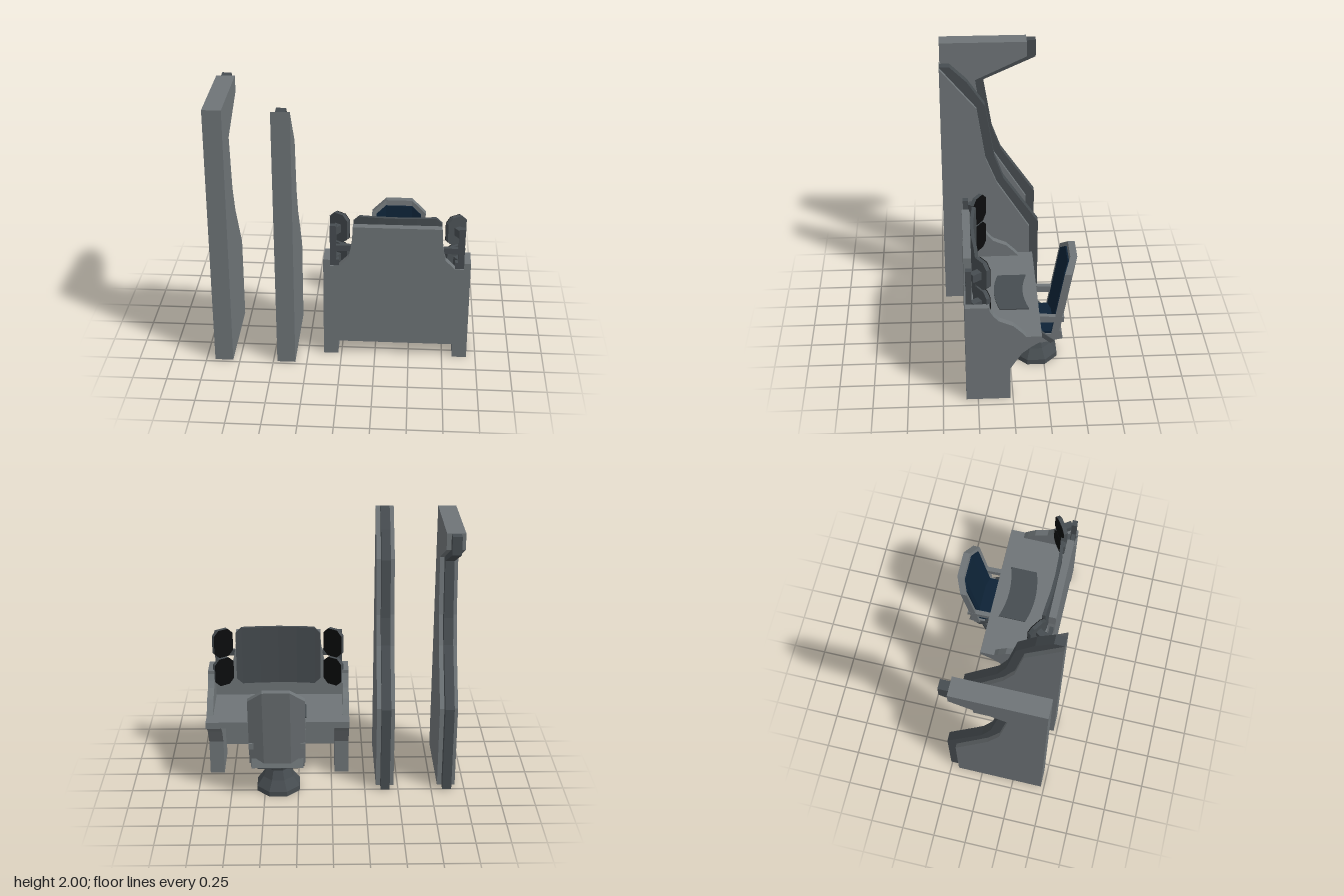
import * as THREE from 'three';
import { mergeGeometries } from 'three/addons/utils/BufferGeometryUtils.js';

const mat = (name, color) => {
  const m = new THREE.MeshStandardMaterial({ color, flatShading: true });
  m.name = name;
  return m;
};

export function createModel() {
  const grey = mat('panel grey', 0x6e7477);
  const dark = mat('dark grey', 0x464c50);
  const navy = mat('navy cushion', 0x0d2236);
  const black = mat('black screen', 0x0b0c0d);
  const model = new THREE.Group();

  const add = (parent, name, geo, material) => {
    const m = new THREE.Mesh(geo, material);
    m.name = name;
    parent.add(m);
    return m;
  };
  const group = (name, x) => {
    const g = new THREE.Group();
    g.name = name;
    g.position.x = x;
    model.add(g);
    return g;
  };
  const outline = pts => new THREE.Shape(pts.map(p => new THREE.Vector2(...p)));
  const extrude = (shape, depth) =>
    new THREE.ExtrudeGeometry(shape, { depth, bevelEnabled: false, curveSegments: 8 });
  // profile of [z, y] points, extruded from x0 to x1
  const extrudeX = (pts, x0, x1) =>
    extrude(outline(pts), x1 - x0).rotateY(-Math.PI / 2).translate(x1, 0, 0);
  const box = (x0, x1, y0, y1, z0, z1) =>
    new THREE.BoxGeometry(x1 - x0, y1 - y0, z1 - z0)
      .translate((x0 + x1) / 2, (y0 + y1) / 2, (z0 + z1) / 2);
  // faceted panel: columns between breaks in x, bent by z = bend(x, y)
  const bentPanel = (breaks, bottom, top, depth, bend) => {
    const cols = breaks.slice(1).map((b, i) => {
      const a = breaks[i];
      return extrude(outline([[a, bottom(a)], [b, bottom(b)], [b, top(b)], [a, top(a)]]), depth);
    });
    const geo = mergeGeometries(cols);
    const p = geo.attributes.position;
    for (let i = 0; i < p.count; i++) p.setZ(i, p.getZ(i) + bend(p.getX(i), p.getY(i)));
    geo.computeVertexNormals();
    return geo;
  };

  // Two tall side panels, each with a narrow trim running along its edge
  const foot = [[0.475, 0], [-0.19, 0], [-0.19, 0.645], [0.06, 1.045], [0.145, 1.26]];
  const trimFoot = [[0.475, 0.002], [-0.26, 0.002], [-0.26, 0.67], [0.01, 1.07], [0.078, 1.26]];
  const canopy = [[0.208, 1.69], [-0.19, 1.88], [-0.19, 2], [0.475, 2]];
  const canopyTrim = [[0.145, 1.68], [-0.26, 1.865], [-0.26, 1.998], [0.474, 1.998]];
  const curve = [[0.208, 1.675], [0.34, 1.835], [0.475, 2]];
  const curveTrim = [[0.145, 1.685], [0.277, 1.88], [0.40, 2], [0.474, 2]];
  [['canopyPanel', -0.868, canopy, canopyTrim], ['curvedPanel', -0.403, curve, curveTrim]]
    .forEach(([name, x, top, trimTop]) => {
      const g = group(name, x);
      add(g, name + 'Body', extrudeX([...foot, ...top], -0.067, 0.067), grey);
      add(g, name + 'Trim', extrudeX([...trimFoot, ...trimTop], -0.034, 0.034), dark);
    });

  // Desk
  const desk = group('desk', 0.4);
  const half = [[0.425, 0.11], [0.425, 0], [0.533, 0], [0.533, 0.8], [0.485, 0.8], [0.485, 0.75],
    [0.42, 0.75], [0.35, 0.82], [0.325, 0.95], [0.32, 1.07]];
  const mirrored = half.map(([x, y]) => [-x, y]).reverse();
  add(desk, 'frontPanel', extrude(outline([...half, ...mirrored]), 0.055).translate(0, 0, 0.28), grey);
  add(desk, 'tableTop', box(-0.533, 0.533, 0.495, 0.545, -0.2, 0.29), grey);
  const leg = [[0.335, 0], [0.02, 0], [0.02, 0.27], [-0.06, 0.40], [-0.13, 0.46], [-0.195, 0.5], [0.335, 0.5]];
  const wing = [[0.335, 0.5], [0.335, 0.8], [0.165, 0.8], [0.165, 0.775], [0.14, 0.73], [0.1, 0.685],
    [0, 0.64], [-0.06, 0.58], [-0.09, 0.545], [-0.09, 0.5]];
  for (const s of [-1, 1]) {
    const side = s < 0 ? 'right' : 'left';
    const spanX = (pts, a, b) => extrudeX(pts, Math.min(s * a, s * b), Math.max(s * a, s * b));
    const spanBox = (a, b, ...r) => box(Math.min(s * a, s * b), Math.max(s * a, s * b), ...r);
    add(desk, side + 'Leg', spanX(leg, 0.425, 0.533), grey);
    add(desk, side + 'Wing', spanX(wing, 0.485, 0.533), grey);

    // Mount with two stacked eight-sided side screens
    add(desk, side + 'MountPost', spanBox(0.44, 0.485, 0.75, 1.07, 0.285, 0.325), dark);
    add(desk, side + 'MountFoot', spanBox(0.42, 0.485, 0.75, 0.8, 0.285, 0.325), dark);
    add(desk, side + 'MountBar', spanBox(0.335, 0.45, 0.87, 0.915, 0.295, 0.325), dark);
    const w = 0.08, h = 0.11, c = 0.04;
    const oct = outline([[w - c, -h], [w, c - h], [w, h - c], [w - c, h],
      [c - w, h], [-w, h - c], [-w, c - h], [c - w, -h]]);
    for (const [i, y] of [1.01, 0.775].entries()) {
      const g = new THREE.Group();
      g.name = side + (i ? 'LowerScreen' : 'UpperScreen');
      g.position.set(s * 0.42, y, 0.215);
      g.rotation.y = s * 0.6;
      add(g, 'screenCase', extrude(oct, 0.03).translate(0, 0, -0.015), dark);
      add(g, 'screenFace', extrude(oct, 0.005).translate(0, 0, -0.02), black);
      add(g, 'screenBracket', box(-0.025, 0.025, -0.03, 0.03, 0.01, 0.085), dark);
      desk.add(g);
    }
  }

  // Curved main monitor
  const cut = x => Math.max(0, Math.abs(x) - 0.275);
  add(desk, 'monitor', bentPanel([-0.32, -0.275, -0.14, 0, 0.14, 0.275, 0.32],
    x => 0.66 + cut(x), x => 1.12 - cut(x), 0.025, x => 0.255 - 0.25 * x * x), dark);

  // Curved control pad on the table
  const pad = new THREE.Shape();
  pad.moveTo(-0.213, -0.08);
  pad.quadraticCurveTo(0, -0.15, 0.213, -0.08);
  pad.lineTo(0.213, 0.13);
  pad.quadraticCurveTo(0, 0.06, -0.213, 0.13);
  add(desk, 'controlPad', extrude(pad, 0.009).rotateX(-Math.PI / 2).translate(0, 0.545, 0), dark);

  // Chair
  const chair = group('chair', 0.4);
  const rings = [[0, 0], [0.172, 0], [0.172, 0.04], [0.12, 0.11], [0.092, 0.18], [0.108, 0.22], [0, 0.22]];
  add(chair, 'pedestal', new THREE.LatheGeometry(rings.map(p => new THREE.Vector2(...p)), 8)
    .rotateY(Math.PI / 8).translate(0, 0, -0.19), dark);
  add(chair, 'seatBase', box(-0.15, 0.15, 0.215, 0.26, -0.31, -0.04), dark);
  add(chair, 'seat', extrudeX([[-0.01, 0.26], [-0.01, 0.3], [-0.3, 0.3], [-0.36, 0.33], [-0.38, 0.26],
    [-0.23, 0.225]], -0.19, 0.19), grey);
  add(chair, 'seatCushion', box(-0.175, 0.175, 0.295, 0.318, -0.33, -0.02), navy);

  // Reclined, three-sided chair back with an inset cushion
  const lean = (x, y) => -0.365 - 0.17 * (y - 0.26) + 0.3 * Math.max(0, Math.abs(x) - 0.1);
  const shoulder = x => Math.max(0, Math.abs(x) - 0.1);
  add(chair, 'chairBack', bentPanel([-0.207, -0.1, 0.1, 0.207],
    x => 0.26 + 0.2 * shoulder(x), x => 0.915 - 0.8 * shoulder(x), 0.05, lean), grey);
  add(chair, 'backCushion', bentPanel([-0.172, -0.1, 0.1, 0.172],
    () => 0.3, x => 0.875 - 0.8 * shoulder(x), 0.02, (x, y) => lean(x, y) + 0.04), navy);

  // Armrests and slanting struts
  for (const s of [-1, 1]) {
    const rest = [[-0.06, 0.42], [-0.13, 0.478], [-0.385, 0.465], [-0.385, 0.42]];
    const strut = [[-0.06, 0.425], [-0.1, 0.425], [-0.32, 0.245], [-0.29, 0.225]];
    add(chair, 'armrest', extrudeX(rest, s * 0.19 - 0.018, s * 0.19 + 0.018), grey);
    add(chair, 'armStrut', extrudeX(strut, s * 0.185 - 0.014, s * 0.185 + 0.014), dark);
  }
  return model;
}
